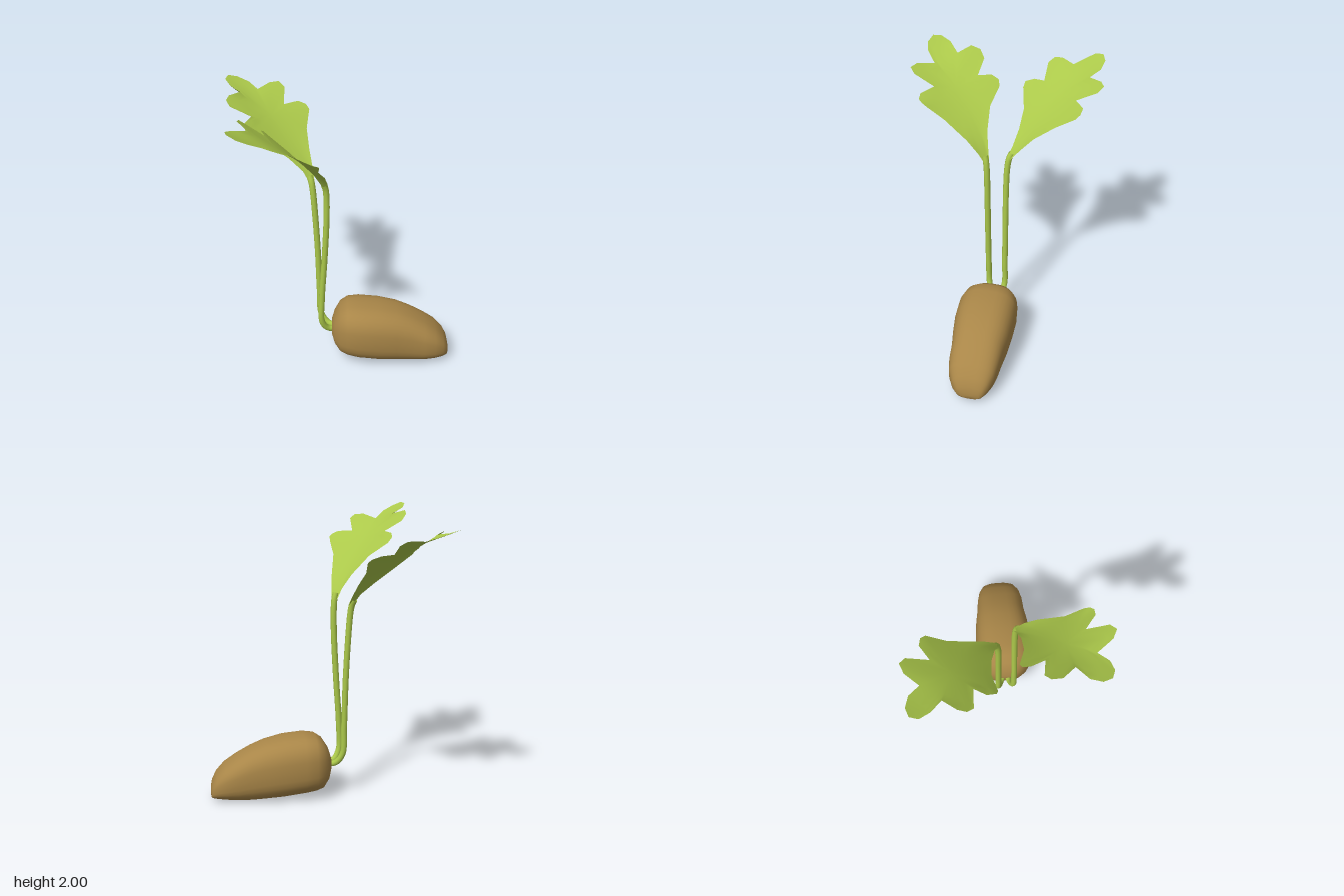
import * as THREE from 'three';

const seedBrown = new THREE.MeshStandardMaterial({ color: 0xa98648 });
seedBrown.name = 'seed brown';
const leafGreen = new THREE.MeshStandardMaterial({ color: 0xabc84a, side: THREE.DoubleSide });
leafGreen.name = 'leaf green';

function indexed(points, index) {
  const g = new THREE.BufferGeometry();
  g.setAttribute('position', new THREE.Float32BufferAttribute(points, 3));
  g.setIndex(index);
  g.computeVertexNormals();
  return g;
}

function named(geometry, material, name) {
  const mesh = new THREE.Mesh(geometry, material);
  mesh.name = name;
  return mesh;
}

// Seed body: rounded-square sections along x, as [x, bottom, top, zMin, zMax]
function seedGeometry() {
  const sections = [
    [-0.062, 0.25, 0.25, 0.02, 0.02], [-0.06, 0.19, 0.28, -0.05, 0.08], [-0.04, 0.12, 0.345, -0.1, 0.13],
    [0, 0.065, 0.41, -0.15, 0.18], [0.05, 0.048, 0.442, -0.177, 0.215], [0.13, 0.035, 0.45, -0.187, 0.236],
    [0.27, 0.018, 0.438, -0.184, 0.235], [0.4, 0.01, 0.408, -0.174, 0.22], [0.5, 0.004, 0.368, -0.158, 0.205],
    [0.6, 0.006, 0.312, -0.147, 0.2], [0.68, 0.014, 0.258, -0.13, 0.183], [0.74, 0.021, 0.195, -0.1, 0.15],
    [0.77, 0.025, 0.135, -0.07, 0.115], [0.78, 0.035, 0.09, -0.045, 0.08], [0.781, 0.06, 0.06, 0.02, 0.02],
  ];
  const sides = 32, points = [], index = [];
  const round = (v) => Math.sign(v) * Math.abs(v) ** 0.75;
  sections.forEach(([x, bottom, top, z0, z1], i) => {
    for (let j = 0; j < sides; j++) {
      const a = (j / sides) * Math.PI * 2;
      points.push(x, (bottom + top) / 2 + round(Math.cos(a)) * (top - bottom) / 2,
        (z0 + z1) / 2 + round(Math.sin(a)) * (z1 - z0) / 2);
      if (i === sections.length - 1) continue;
      const k = (j + 1) % sides, p = i * sides, q = p + sides;
      index.push(p + j, p + k, q + j, q + j, p + k, q + k);
    }
  });
  return indexed(points, index);
}

// Height inside an outline, blended smoothly from its rim by mean value weights
function blendedHeight(x, z, outline) {
  const n = outline.length;
  const halfTan = outline.map((p, i) => {
    const q = outline[(i + 1) % n];
    const ax = p[0] - x, az = p[2] - z, bx = q[0] - x, bz = q[2] - z;
    return Math.tan(Math.atan2(ax * bz - az * bx, ax * bx + az * bz) / 2);
  });
  let sum = 0, total = 0;
  outline.forEach((p, i) => {
    const w = (halfTan[(i + n - 1) % n] + halfTan[i]) / Math.hypot(p[0] - x, p[2] - z);
    sum += w * p[1];
    total += w;
  });
  return sum / total;
}

// Lobed blade: rings shrinking from the outline to its centre
function leafGeometry([cx, cz], outline) {
  const rings = 8, n = outline.length, index = [];
  const points = [cx, blendedHeight(cx, cz, outline), cz];
  for (let r = 1; r <= rings; r++) {
    const t = r / rings;
    outline.forEach((p, j) => {
      const x = cx + (p[0] - cx) * t, z = cz + (p[2] - cz) * t;
      points.push(x, r === rings ? p[1] : blendedHeight(x, z, outline), z);
      const k = (j + 1) % n, b = 1 + (r - 1) * n, a = b - n;
      if (r === 1) index.push(0, b + j, b + k);
      else index.push(a + j, b + j, b + k, a + j, b + k, a + k);
    });
  }
  return indexed(points, index);
}

function stemGeometry(path) {
  const curve = new THREE.CatmullRomCurve3(path.map((p) => new THREE.Vector3(...p)));
  return new THREE.TubeGeometry(curve, 48, 0.021, 10);
}

export function createModel() {
  const model = new THREE.Group();
  model.name = 'sprout';
  model.add(named(seedGeometry(), seedBrown, 'seed'));

  // Stems rise from the blunt end of the seed
  model.add(named(stemGeometry([
    [-0.03, 0.225, 0.025], [-0.09, 0.24, 0.045], [-0.13, 0.31, 0.065], [-0.13, 0.5, 0.07], [-0.108, 0.85, 0.07],
    [-0.093, 1.15, 0.07], [-0.092, 1.32, 0.073], [-0.098, 1.39, 0.08], [-0.108, 1.425, 0.09],
  ]), leafGreen, 'frontStem'));
  model.add(named(stemGeometry([
    [-0.03, 0.23, 0], [-0.09, 0.24, -0.025], [-0.138, 0.31, -0.045], [-0.147, 0.5, -0.045], [-0.157, 0.85, -0.045],
    [-0.173, 1.15, -0.045], [-0.184, 1.3, -0.05], [-0.194, 1.37, -0.06], [-0.208, 1.405, -0.075],
  ]), leafGreen, 'backStem'));

  // Leaf outlines run from the neck around the five lobes and back
  model.add(named(leafGeometry([-0.36, 0.34], [
    [-0.08, 1.38, 0.085], [-0.084, 1.45, 0.13], [-0.1, 1.535, 0.21], [-0.138, 1.655, 0.37], [-0.13, 1.74, 0.48],
    [-0.135, 1.765, 0.515], [-0.155, 1.78, 0.54], [-0.2, 1.8, 0.54], [-0.29, 1.81, 0.47],
    [-0.3, 1.885, 0.605], [-0.34, 1.91, 0.64], [-0.4, 1.915, 0.61], [-0.47, 1.89, 0.51],
    [-0.54, 1.94, 0.57], [-0.61, 1.975, 0.587], [-0.665, 2, 0.565], [-0.68, 1.995, 0.51], [-0.65, 1.97, 0.44],
    [-0.56, 1.935, 0.37], [-0.63, 1.965, 0.29], [-0.625, 1.945, 0.225], [-0.585, 1.9, 0.19], [-0.47, 1.83, 0.21],
    [-0.5, 1.825, 0.12], [-0.49, 1.8, 0.07], [-0.46, 1.765, 0.06], [-0.34, 1.675, 0.1], [-0.22, 1.55, 0.095],
    [-0.15, 1.46, 0.075], [-0.11, 1.38, 0.06],
  ]), leafGreen, 'frontLeaf'));
  model.add(named(leafGeometry([-0.47, -0.34], [
    [-0.2, 1.36, -0.04], [-0.25, 1.44, -0.075], [-0.34, 1.52, -0.1], [-0.46, 1.61, -0.11], [-0.595, 1.7, -0.08],
    [-0.622, 1.735, -0.09], [-0.63, 1.755, -0.15], [-0.59, 1.77, -0.225], [-0.73, 1.84, -0.23],
    [-0.755, 1.87, -0.27], [-0.74, 1.88, -0.325], [-0.675, 1.87, -0.41], [-0.745, 1.885, -0.48],
    [-0.785, 1.91, -0.545], [-0.77, 1.918, -0.6], [-0.71, 1.9, -0.62], [-0.63, 1.87, -0.6], [-0.565, 1.84, -0.535],
    [-0.49, 1.855, -0.62], [-0.425, 1.855, -0.645], [-0.385, 1.825, -0.61], [-0.385, 1.755, -0.47],
    [-0.29, 1.755, -0.53], [-0.235, 1.735, -0.52], [-0.212, 1.71, -0.49], [-0.228, 1.625, -0.36],
    [-0.208, 1.53, -0.22], [-0.185, 1.44, -0.13], [-0.173, 1.37, -0.07],
  ]), leafGreen, 'backLeaf'));
  return model;
}
